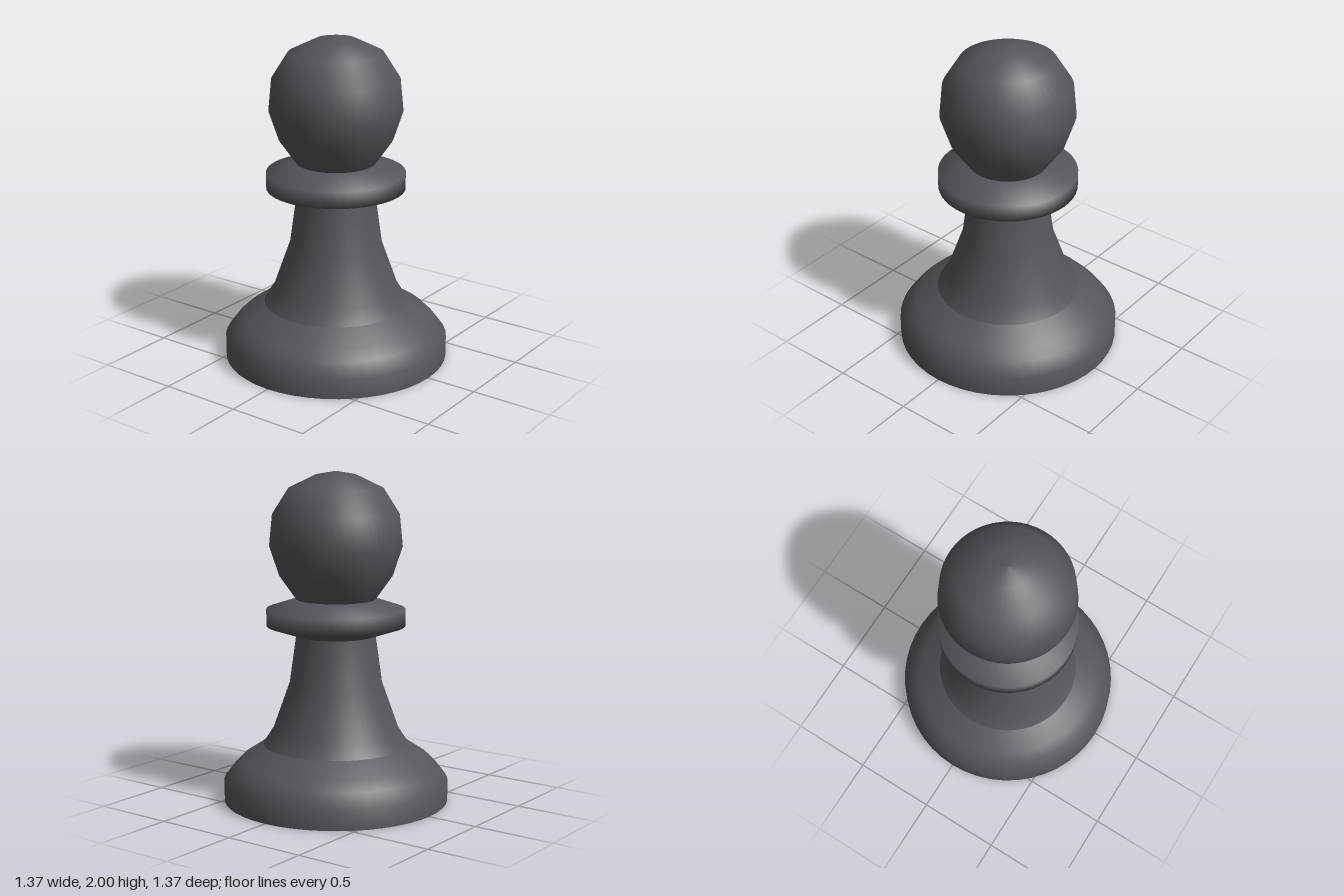
import * as THREE from 'three';

const SEGMENTS = 48;

export function createModel() {
  const group = new THREE.Group();
  group.name = 'pawn';

  const charcoal = new THREE.MeshStandardMaterial({ color: 0x55565c });
  charcoal.name = 'charcoal';

  // Each part is turned from a [radius, height] profile running upward
  const turn = (name, profile) => {
    const points = profile.map(([r, y]) => new THREE.Vector2(r, y));
    const mesh = new THREE.Mesh(new THREE.LatheGeometry(points, SEGMENTS), charcoal);
    mesh.name = name;
    group.add(mesh);
  };

  // Flat underside, separate so its rim stays sharp
  turn('underside', [[0, 0], [0.685, 0]]);

  // Wide foot with a rounded shoulder
  turn('base', [[0.685, 0], [0.685, 0.125], [0.625, 0.205], [0.57, 0.26], [0.442, 0.345]]);

  // Tapering stem
  turn('stem', [[0.442, 0.345], [0.382, 0.44], [0.28, 0.727], [0.24, 1.015]]);

  // Bevelled collar
  turn('collar', [[0.24, 1.015], [0.42, 1.075], [0.42, 1.175], [0.24, 1.235]]);

  // Ball head, narrowing to the collar
  turn('head', [
    [0.24, 1.235], [0.342, 1.38], [0.4, 1.555], [0.381, 1.745],
    [0.283, 1.9], [0.118, 1.98], [0, 2],
  ]);

  return group;
}
